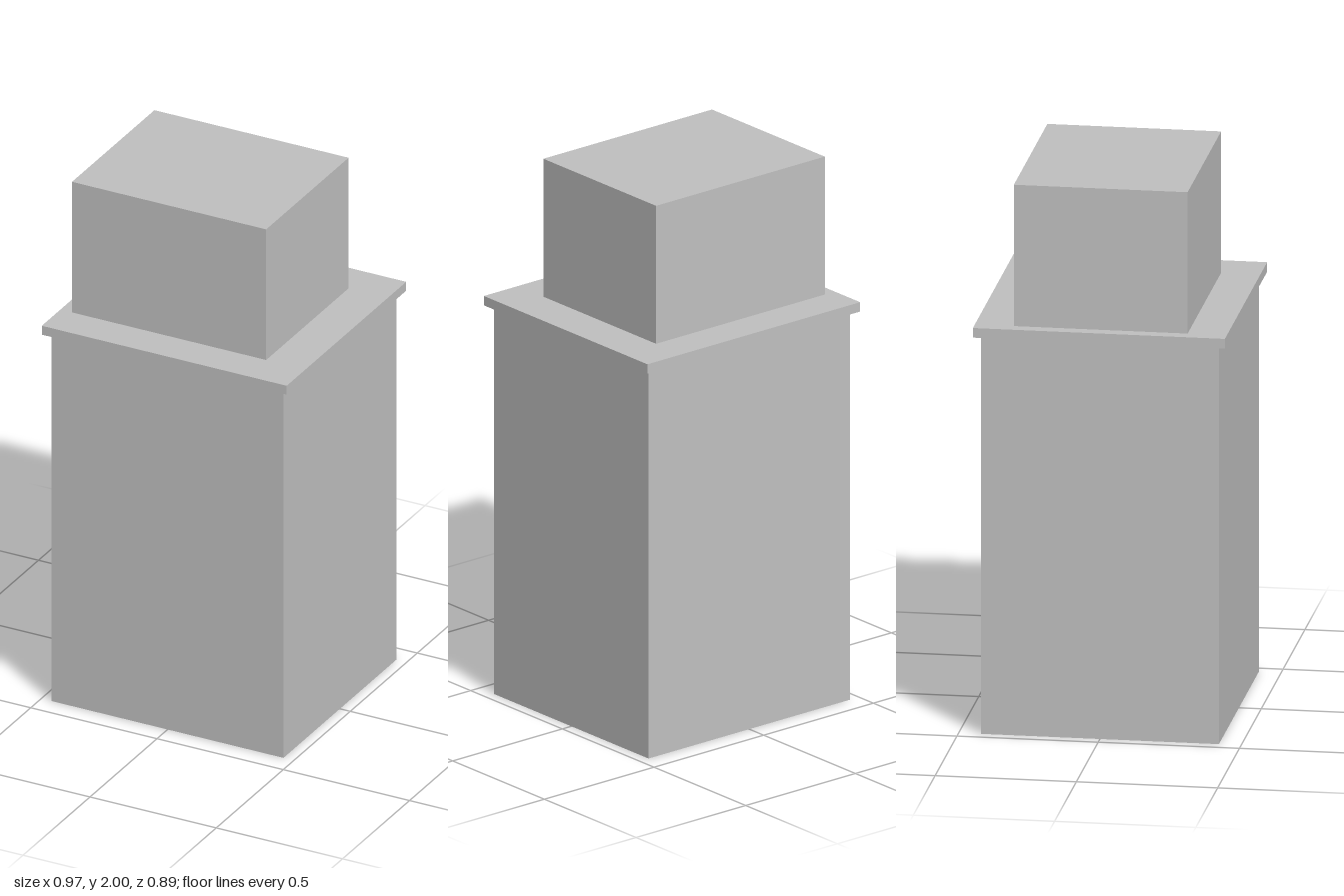
import * as THREE from 'three';

const grey = new THREE.MeshStandardMaterial({ name: 'plain grey', color: 0xc0c0c0 });

// Box given by its lower and upper limits on each axis
function block(name, [x0, x1], [y0, y1], [z0, z1]) {
  const mesh = new THREE.Mesh(new THREE.BoxGeometry(x1 - x0, y1 - y0, z1 - z0), grey);
  mesh.position.set((x0 + x1) / 2, (y0 + y1) / 2, (z0 + z1) / 2);
  mesh.name = name;
  return mesh;
}

export function createModel() {
  const model = new THREE.Group();
  model.name = 'pedestalWithBox';
  model.add(
    // Tall base
    block('pedestal', [-0.459, 0.459], [0, 1.45], [-0.421, 0.421]),
    // Thin overhanging slab
    block('topSlab', [-0.485, 0.485], [1.45, 1.485], [-0.446, 0.446]),
    // Box resting on the slab, set towards its right
    block('upperBox', [-0.439, 0.33], [1.485, 2], [-0.308, 0.307])
  );
  return model;
}
